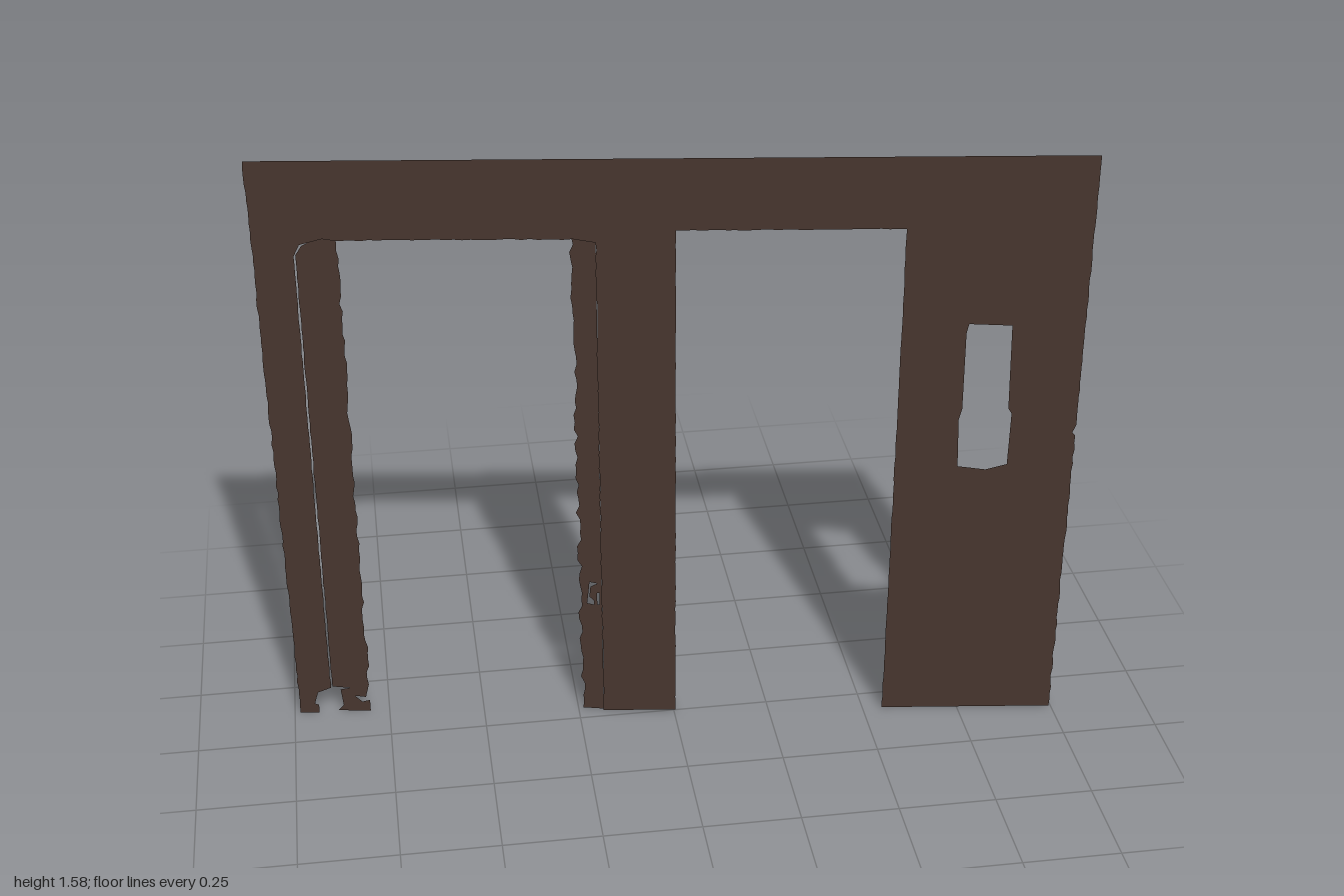
import * as THREE from 'three';

export function createModel() {
  const group = new THREE.Group();
  group.name = 'wallWithDoorways';
  const darkBrown = new THREE.MeshStandardMaterial({ color: 0x47352e, side: THREE.DoubleSide });
  darkBrown.name = 'darkBrown';

  // Seeded random in -1..1 for the worn edges
  let seed = 7;
  const rand = () => {
    seed = (seed * 16807) % 2147483647;
    return (seed / 2147483647) * 2 - 1;
  };

  // Closed outline; each corner is [x, y, wear of the edge that follows it]
  function outline(corners) {
    const points = [];
    corners.forEach(([x, y, wear = 0], i) => {
      const [nx, ny] = corners[(i + 1) % corners.length];
      points.push(new THREE.Vector2(x, y));
      if (!wear) return;
      const length = Math.hypot(nx - x, ny - y);
      const steps = Math.floor(length / 0.02);
      for (let s = 1; s < steps; s++) {
        const t = s / steps, off = rand() * wear;
        points.push(new THREE.Vector2(
          x + (nx - x) * t - ((ny - y) / length) * off,
          y + (ny - y) * t + ((nx - x) / length) * off));
      }
    });
    return points;
  }

  // Flat sheet sheared onto the slanted wall plane
  function addSheet(name, corners, holes = [], offset = 0) {
    const shape = new THREE.Shape(outline(corners));
    holes.forEach((h) => shape.holes.push(new THREE.Path(outline(h))));
    const geometry = new THREE.ShapeGeometry(shape);
    const p = geometry.attributes.position;
    for (let i = 0; i < p.count; i++) p.setZ(i, p.getX(i) * 0.128 - 0.002 + offset);
    geometry.computeVertexNormals();
    const mesh = new THREE.Mesh(geometry, darkBrown);
    mesh.name = name;
    group.add(mesh);
  }

  const rect = (x0, y0, x1, y1, wear = 0) =>
    [[x0, y0, wear], [x1, y0, wear], [x1, y1, wear], [x0, y1, wear]];

  // Window opening and small worn holes
  const holes = [
    [[0.71, 0.745], [0.78, 0.735], [0.833, 0.75], [0.835, 0.895], [0.826, 0.91],
      [0.82, 1.14], [0.715, 1.145], [0.71, 1.12], [0.712, 0.91], [0.705, 0.88]],
  ];

  // Main wall: left post, middle post and broad right panel under one lintel
  addSheet('wall', [
    [-0.985, 0.005], [-0.935, 0.005], [-0.935, 0.03], [-0.945, 0.035], [-0.935, 0.07],
    [-0.9, 0.085, 0.001], [-0.9, 1.34], [-0.885, 1.37], [-0.83, 1.385],
    [-0.8, 1.38, 0.002], [-0.24, 1.38], [-0.185, 1.37, 0.002], [-0.185, 0.003],
    [0.005, 0.003, 0.001], [0.005, 1.4, 0.001], [0.552, 1.4, 0.001], [0.552, 0.003],
    [0.995, 0.003, 0.002], [0.998, 0.83], [0.99, 0.84], [0.998, 0.86, 0.001],
    [0.998, 1.585], [-1, 1.585, 0.002],
  ], holes);

  // Left door trim, set slightly back behind a hairline gap
  addSheet('leftDoorTrim', [
    [-0.896, 0.085], [-0.85, 0.08], [-0.845, 0.055], [-0.81, 0.05], [-0.8, 0.09, 0.005],
    [-0.797, 1.39], [-0.83, 1.39], [-0.88, 1.365], [-0.896, 1.34, 0.001],
  ], [], -0.006);
  addSheet('leftTrimFoot', [
    [-0.885, 0.008], [-0.8, 0.005], [-0.8, 0.04], [-0.82, 0.035], [-0.845, 0.06],
    [-0.85, 0.08], [-0.875, 0.075], [-0.87, 0.025],
  ], [], -0.006);

  // Worn trim of the middle post with the lock hole
  addSheet('middlePostTrim', [
    [-0.238, 0.008], [-0.184, 0.003], [-0.184, 1.383], [-0.242, 1.383, 0.006],
  ], [
    [[-0.222, 0.34], [-0.205, 0.335], [-0.205, 0.348], [-0.216, 0.36], [-0.213, 0.39],
      [-0.195, 0.4], [-0.215, 0.405]],
    rect(-0.196, 0.335, -0.19, 0.37),
  ], -0.007);

  return group;
}
